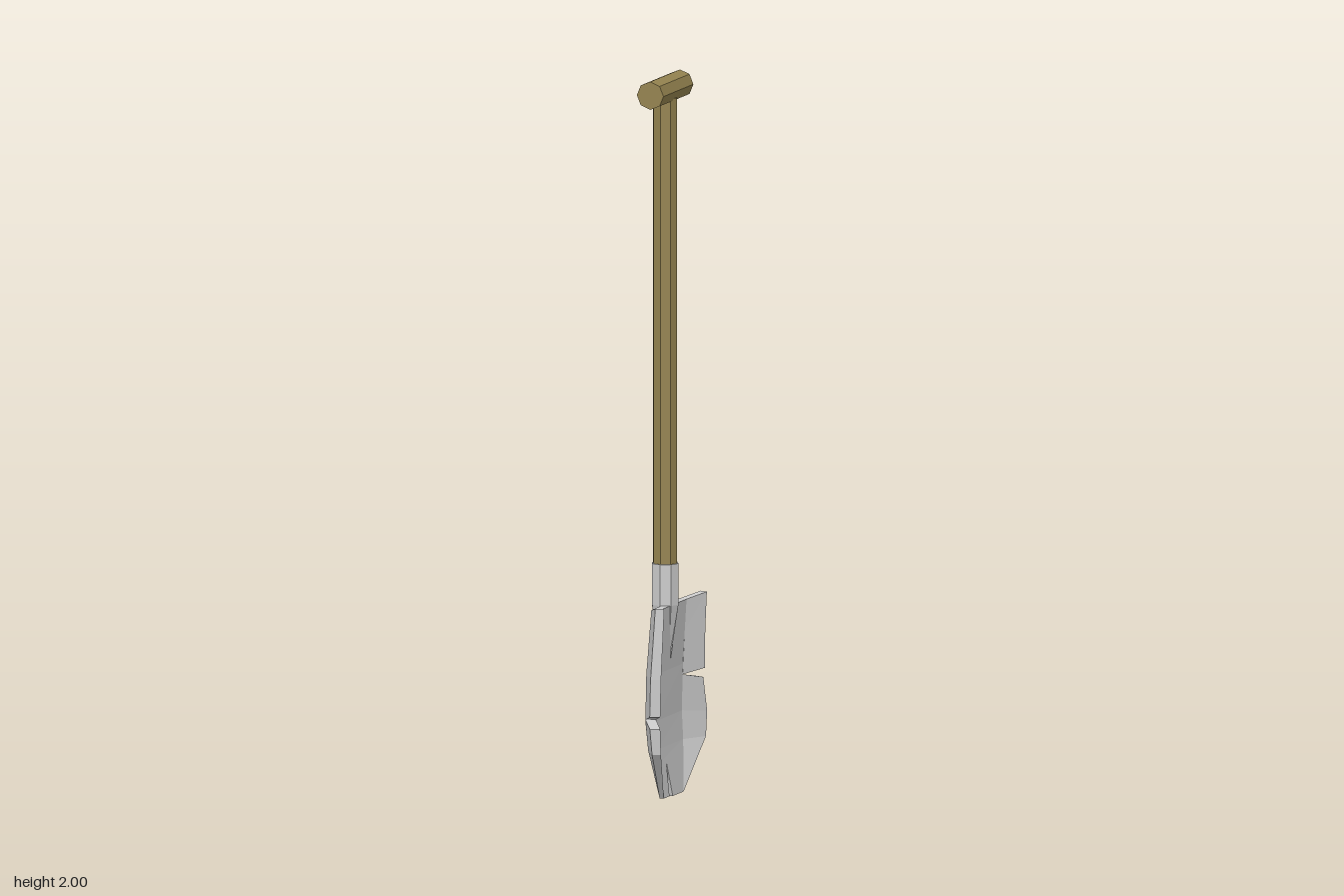
import * as THREE from 'three';

const AXIS_X = -0.017; // the shaft sits slightly behind the blade's centre

// Height -> x of the blade's middle, and its thickness
const SPINE = [[0, 0.005, 0.012], [0.14, -0.014, 0.022], [0.22, -0.02, 0.026], [0.35, -0.017, 0.026], [0.55, -0.003, 0.022]];

function spineAt(y) {
  let i = 0;
  while (i < SPINE.length - 2 && y > SPINE[i + 1][0]) i++;
  const [a, b] = [SPINE[i], SPINE[i + 1]];
  const t = (y - a[0]) / (b[0] - a[0]);
  return [a[1] + (b[1] - a[1]) * t, a[2] + (b[2] - a[2]) * t];
}

// A dished slab; each row is [z1, y1, z2, y2] with z1 < z2, listed from top to bottom
function slab(rows) {
  const rings = rows.map(([za, ya, zb, yb]) => {
    const point = (z, y, side) => {
      const [x, thick] = spineAt(y);
      const rise = 0.52 * Math.max(0, Math.abs(z) - 0.108);
      // side walls of the wings lean with the slope
      const lean = rise > 0 ? -side * Math.sign(z) * thick * 0.25 : 0;
      return [x + rise + side * thick / 2, y, z + lean];
    };
    return [point(za, ya, 1), point(zb, yb, 1), point(zb, yb, -1), point(za, ya, -1)];
  });
  const pos = [];
  const quad = (a, b, c, d) => pos.push(...a, ...b, ...c, ...a, ...c, ...d);
  for (let i = 0; i < rings.length - 1; i++) {
    const r = rings[i], s = rings[i + 1];
    for (let k = 0; k < 4; k++) {
      const n = (k + 1) % 4;
      quad(r[k], r[n], s[n], s[k]);
    }
  }
  const top = rings[0], low = rings[rings.length - 1];
  quad(top[3], top[2], top[1], top[0]);
  quad(low[0], low[1], low[2], low[3]);
  const geo = new THREE.BufferGeometry();
  geo.setAttribute('position', new THREE.Float32BufferAttribute(pos, 3));
  geo.computeVertexNormals();
  return geo;
}

export function createModel() {
  const model = new THREE.Group();
  model.name = 'shovel';
  const wood = new THREE.MeshStandardMaterial({ color: 0x94834f, flatShading: true });
  const metal = new THREE.MeshStandardMaterial({ color: 0xcccccc, flatShading: true });

  const add = (parent, name, geo, mat, x = 0, y = 0, z = 0) => {
    const mesh = new THREE.Mesh(geo, mat);
    mesh.name = name;
    mesh.position.set(x, y, z);
    parent.add(mesh);
    return mesh;
  };

  // Octagonal shaft and cross grip
  add(model, 'shaft', new THREE.CylinderGeometry(0.035, 0.035, 1.34, 8), wood, AXIS_X, 1.27, 0);
  const grip = add(model, 'grip', new THREE.CylinderGeometry(0.039, 0.039, 0.236, 8), wood, AXIS_X, 1.961, 0);
  grip.rotation.x = Math.PI / 2;

  // Socket: straight collar whose lower half pinches to a vertical wedge on the blade
  const socket = new THREE.CylinderGeometry(0.039, 0.039, 0.27, 8, 2);
  const p = socket.attributes.position;
  for (let i = 0; i < p.count; i++) {
    if (p.getY(i) < -0.1) p.setXYZ(i, p.getX(i) * 0.4, -0.135, p.getZ(i) * 0.04);
    else if (p.getY(i) < 0.1) p.setY(i, 0.02);
  }
  socket.computeVertexNormals();
  add(model, 'socket', socket, metal, AXIS_X, 0.51, 0);

  // Blade: flat middle, bent wings, with cracks left open between the pieces
  const blade = new THREE.Group();
  blade.name = 'blade';
  model.add(blade);
  const pieces = {
    bladeMiddle: [
      [-0.105, 0.53, 0.11, 0.53], [-0.105, 0.44, 0.11, 0.44], [-0.105, 0.35, 0.11, 0.35],
      [-0.105, 0.22, 0.112, 0.22], [-0.105, 0.14, 0.11, 0.14], [-0.095, 0.1, 0.103, 0.1],
    ],
    bladeTipRight: [[-0.095, 0.1, 0.04, 0.1], [-0.07, 0, 0.015, 0]],
    bladeTipLeft: [[0.04, 0.1, 0.103, 0.1], [0.04, 0.003, 0.085, 0.003]],
    upperBackWing: [
      [-0.175, 0.543, -0.105, 0.53], [-0.177, 0.44, -0.105, 0.44], [-0.182, 0.33, -0.105, 0.32],
    ],
    lowerBackWing: [
      [-0.178, 0.305, -0.105, 0.32], [-0.192, 0.21, -0.105, 0.22],
      [-0.184, 0.14, -0.105, 0.14], [-0.07, 0, -0.07, 0],
    ],
    upperFrontWing: [
      [0.11, 0.53, 0.18, 0.545], [0.11, 0.44, 0.188, 0.44], [0.11, 0.35, 0.194, 0.35],
      [0.112, 0.225, 0.194, 0.245],
    ],
    lowerFrontWing: [
      [0.112, 0.225, 0.195, 0.212], [0.11, 0.14, 0.188, 0.14], [0.085, 0.003, 0.085, 0.003],
    ],
  };
  for (const [name, rows] of Object.entries(pieces)) add(blade, name, slab(rows), metal);

  return model;
}
